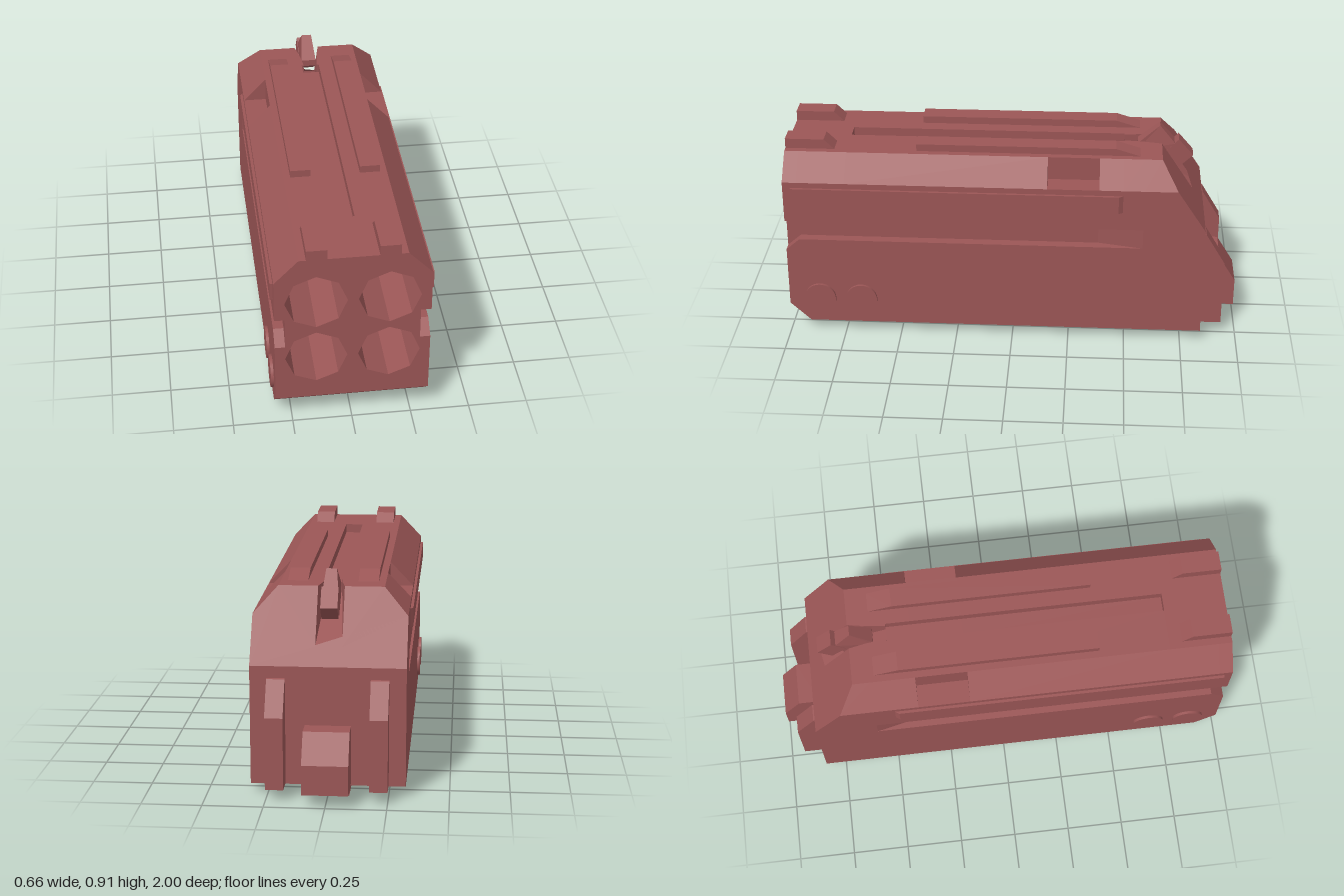
import * as THREE from 'three';

const paint = new THREE.MeshStandardMaterial({ color: 0x9b5656, flatShading: true });
const smoothPaint = new THREE.MeshStandardMaterial({ color: 0x9b5656 });
const toShape = pts => new THREE.Shape(pts.map(p => new THREE.Vector2(p[0], p[1])));

// Side profile of [z, y] points, extruded across x from x0 to x1
function sideProfile(pts, x0, x1) {
  const g = new THREE.ExtrudeGeometry(toShape(pts), { depth: x1 - x0, bevelEnabled: false });
  return g.rotateY(-Math.PI / 2).translate(x1, 0, 0);
}

function box(x0, x1, y0, y1, z0, z1) {
  return new THREE.BoxGeometry(x1 - x0, y1 - y0, z1 - z0)
    .translate((x0 + x1) / 2, (y0 + y1) / 2, (z0 + z1) / 2);
}

const mirrorHalf = half => [...half, ...half.map(([x, y]) => [-x, y]).reverse()];

// Body slice between two sections with the same number of points;
// backZ gives the z of each rear point from its height
function slice(frontHalf, backHalf, zFront, backZ, holes = []) {
  const front = mirrorHalf(frontHalf), back = mirrorHalf(backHalf);
  const shape = toShape(front);
  shape.holes.push(...holes);
  const g = new THREE.ExtrudeGeometry(shape, { depth: 1, bevelEnabled: false });
  const p = g.attributes.position;
  for (let i = 0; i < p.count; i++) {
    if (p.getZ(i) > 0.5) { p.setZ(i, zFront); continue; }
    const k = front.findIndex(([x, y]) => Math.hypot(x - p.getX(i), y - p.getY(i)) < 1e-5);
    const [x, y] = k < 0 ? [p.getX(i), p.getY(i)] : back[k];
    p.setXYZ(i, x, y, backZ(y));
  }
  g.computeVertexNormals();
  return g;
}

// Right half of the body section, with side groove, optional shoulder notch and top channel
function section({ low = 0.457, inner = 0.277, notch = false, channel = null }) {
  const pts = [[0.32, 0.13], [0.32, low], [inner, low], [inner, 0.547], [0.32, 0.547], [0.32, 0.735]];
  if (notch) pts.push([0.22, 0.735]);
  pts.push([0.22, 0.84]);
  if (channel) pts.push([channel[0], 0.84], channel);
  return pts;
}

export function createModel() {
  const model = new THREE.Group();
  const add = (name, geometry, material = paint, parent = model) => {
    const m = new THREE.Mesh(geometry, material);
    m.name = name;
    parent.add(m);
    return m;
  };

  // Four octagonal bores
  const bores = [];
  for (const cx of [-0.15, 0.15]) for (const cy of [0.342, 0.627]) {
    const path = new THREE.Path();
    path.setFromPoints(Array.from({ length: 8 }, (_, i) => {
      const a = -i * Math.PI / 4;
      return new THREE.Vector2(cx + 0.128 * Math.cos(a), cy + 0.128 * Math.sin(a));
    }));
    bores.push(path);
  }

  // Main body, sliced from front to back
  const body = new THREE.Group();
  body.name = 'body';
  model.add(body);
  const at = z => () => z;
  const channel = [0.04, 0.8];
  const grooveAt = z => 0.277 + 0.043 * Math.max(0, (-0.375 - z) / 0.195);
  const slopeZ = y => -0.84 + (y - 0.547) * (0.195 / 0.293);
  const addSlice = (name, a, b, z0, z1, holes) =>
    add(name, slice(section(a), section(b), z0, at(z1), holes), paint, body);

  addSlice('muzzleBlock', { low: 0.405 }, {}, 1, 0.94, bores);
  addSlice('frontBlock', {}, {}, 0.94, 0.73, bores);
  addSlice('middleBlock', { channel }, { channel }, 0.73, -0.15, bores);
  addSlice('notchedBlock', { channel, notch: true }, { channel, notch: true }, -0.15, -0.375);
  addSlice('rearBlock', { channel }, { channel, inner: grooveAt(-0.48) }, -0.375, -0.48);
  addSlice('grooveEndBlock', { channel: [0.03, 0.8], inner: grooveAt(-0.48) },
    { channel: [0.04, 0.74], inner: grooveAt(-0.57) }, -0.48, -0.57);

  // Sloped tail with the open slot
  const tail = slot => [[0.32, 0.547], [0.32, 0.735], [0.22, 0.84], [slot[0], 0.84], slot];
  add('slopedTail', slice(tail([0.04, 0.74]), tail([0.055, 0.62]), -0.57, slopeZ), paint, body);
  add('tailBlock', box(-0.32, 0.32, 0.13, 0.547, -0.84, -0.57), paint, body);
  add('chamferedBase', sideProfile(
    [[1, 0.13], [0.91, 0.045], [-0.84, 0.045], [-0.84, 0.13]], -0.32, 0.32), paint, body);

  // Rail under the body
  add('bottomRail', box(-0.088, 0.088, 0, 0.046, -0.84, 0.695));

  // Paired parts
  for (const s of [1, -1]) {
    const pair = (a, b) => s > 0 ? [a, b] : [-b, -a];
    const side = s > 0 ? 'left' : 'right';

    add(side + 'TopRail', sideProfile(
      [[0.425, 0.83], [0.425, 0.872], [-0.445, 0.872], [-0.55, 0.84], [-0.55, 0.83]], ...pair(0.105, 0.19)));
    add(side + 'FrontLug', sideProfile(
      [[1, 0.83], [1, 0.884], [0.83, 0.884], [0.785, 0.84], [0.785, 0.83]], ...pair(0.105, 0.19)));
    add(side + 'RearRib', sideProfile(
      [[-0.83, 0.05], [-0.83, 0.5], [-0.85, 0.495], [-0.935, 0.355], [-0.935, 0.05]], ...pair(0.175, 0.25)));

    // Thin side strip tapering into the body at the rear
    const strip = box(...pair(0.3, 0.332), 0.63, 0.71, -0.51, 0.965);
    const p = strip.attributes.position;
    for (let i = 0; i < p.count; i++)
      if (p.getZ(i) < 0 && Math.abs(p.getX(i)) > 0.32) p.setZ(i, -0.46);
    strip.computeVertexNormals();
    add(side + 'SideStrip', strip);

    // Round side caps
    for (const z of [0.86, 0.675]) {
      const cap = new THREE.CylinderGeometry(0.07, 0.07, 0.03, 28)
        .rotateZ(Math.PI / 2).translate(s * 0.317, 0.165, z);
      add(side + 'RoundCap', cap, smoothPaint);
    }
  }

  // Rear centre block
  add('rearBlockCover', sideProfile(
    [[-0.83, 0.055], [-0.83, 0.3], [-0.925, 0.3], [-1, 0.18], [-1, 0.055]], -0.095, 0.095));

  // Lever standing in the tail slot, flared toward its foot
  const lever = sideProfile([[-0.54, 0.8], [-0.54, 0.83], [-0.635, 0.912], [-0.705, 0.83], [-0.66, 0.72]], -0.022, 0.022);
  const lp = lever.attributes.position;
  for (let i = 0; i < lp.count; i++) if (lp.getY(i) < 0.84) lp.setX(i, lp.getX(i) * 1.5);
  lever.computeVertexNormals();
  add('lever', lever);
  add('leverBlock', sideProfile(
    [[-0.66, 0.79], [-0.72, 0.853], [-0.785, 0.778], [-0.725, 0.72]], -0.035, 0.035));

  return model;
}
